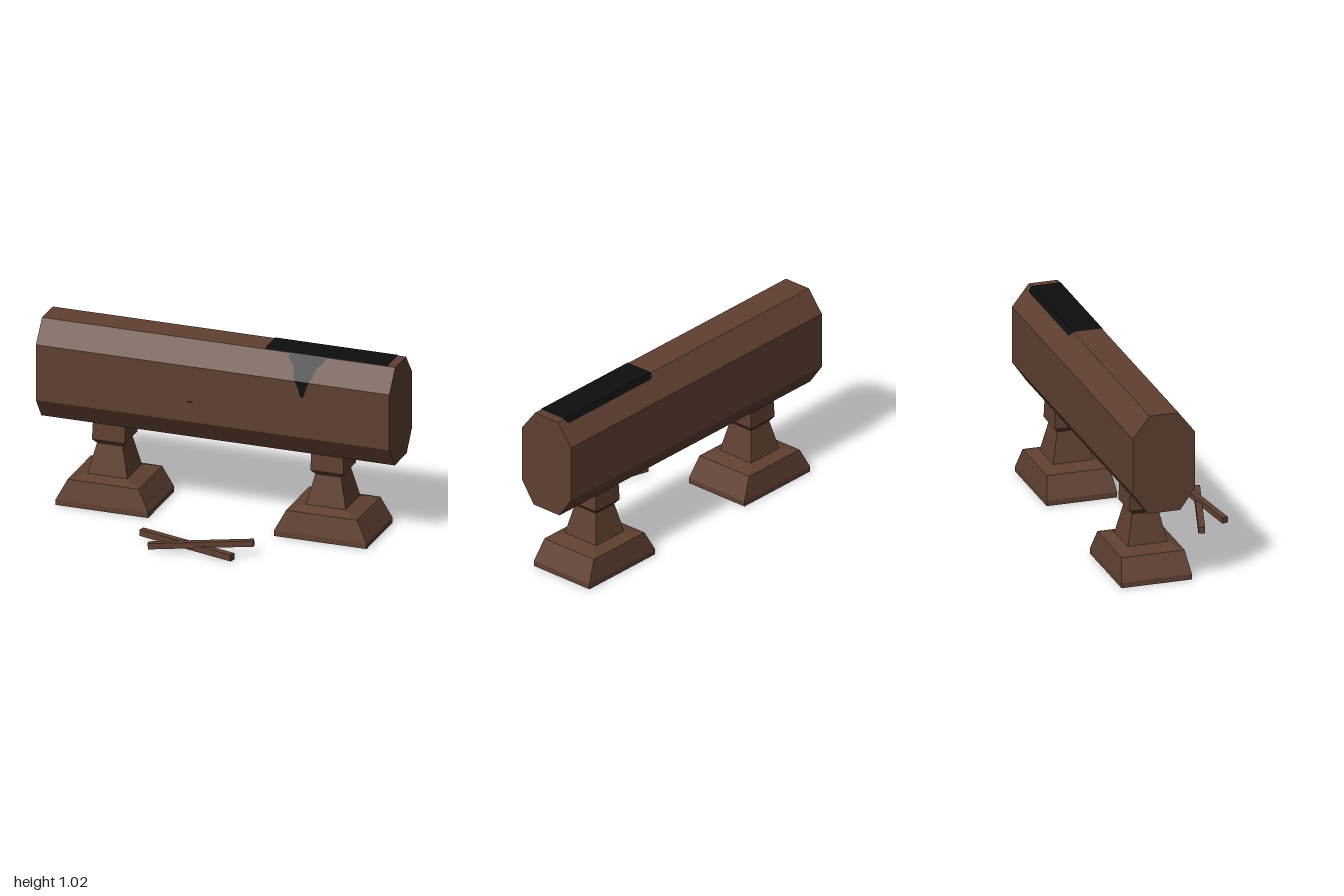
import * as THREE from 'three';

const wood = new THREE.MeshStandardMaterial({ name: 'brownWood', color: 0x5f4031 });
const black = new THREE.MeshStandardMaterial({ name: 'blackStain', color: 0x0e0e0e, side: THREE.DoubleSide });

const MID_Y = 0.734, MID_Z = -0.219;

function addMesh(parent, name, geometry, material) {
  const mesh = new THREE.Mesh(geometry, material);
  mesh.name = name;
  parent.add(mesh);
  return mesh;
}

function facetedGeometry(points) {
  const g = new THREE.BufferGeometry();
  g.setAttribute('position', new THREE.Float32BufferAttribute(points.flat(), 3));
  g.computeVertexNormals();
  return g;
}

// Stacked rectangular sections [y, half width, half depth], closed at both ends
function loftRects(sections) {
  const corners = [[1, 1], [1, -1], [-1, -1], [-1, 1]];
  const rings = sections.map(([y, hx, hz]) => corners.map(([sx, sz]) => [sx * hx, y, sz * hz]));
  const pts = [];
  const quad = (a, b, c, d) => pts.push(a, b, c, a, c, d);
  for (let r = 0; r < rings.length - 1; r++) {
    for (let i = 0; i < 4; i++) {
      const j = (i + 1) % 4;
      quad(rings[r][i], rings[r][j], rings[r + 1][j], rings[r + 1][i]);
    }
  }
  quad(...[...rings[0]].reverse());
  quad(...rings[rings.length - 1]);
  return facetedGeometry(pts);
}

// Thin skin over the beam from rows [y, z, left x, right x], lifted off its faces
function skin(rows) {
  const k = 1.012;
  const pts = [];
  const edge = rows.map(([y, z, x0, x1]) => {
    const py = MID_Y + (y - MID_Y) * k, pz = MID_Z + (z - MID_Z) * k;
    return [[x0, py, pz], [x1, py, pz]];
  });
  for (let i = 0; i < edge.length - 1; i++) {
    const [a, b] = edge[i], [d, c] = edge[i + 1];
    pts.push(a, c, b, a, d, c);
  }
  return facetedGeometry(pts);
}

// Square stick between two points
function stick(parent, name, from, to, size) {
  const a = new THREE.Vector3(...from), b = new THREE.Vector3(...to);
  const d = b.clone().sub(a);
  const g = new THREE.BoxGeometry(d.length(), size, size);
  g.rotateZ(Math.atan2(d.y, Math.hypot(d.x, d.z)));
  g.rotateY(Math.atan2(-d.z, d.x));
  addMesh(parent, name, g, wood).position.copy(a.add(b).multiplyScalar(0.5));
}

export function createModel() {
  const model = new THREE.Group();
  model.name = 'beamOnPedestals';

  // Long eight-sided beam, profile points are [z, y]
  const profile = [
    [-0.045, 0.575], [-0.045, 0.892], [-0.138, 1.013], [-0.3, 1.013],
    [-0.393, 0.892], [-0.393, 0.575], [-0.31, 0.456], [-0.128, 0.456],
  ];
  const shape = new THREE.Shape(profile.map(([z, y]) => new THREE.Vector2(-z, y)));
  const beam = new THREE.ExtrudeGeometry(shape, { depth: 2, bevelEnabled: false });
  beam.translate(0, 0, -1).rotateY(Math.PI / 2);
  addMesh(model, 'beam', beam, wood);

  // Two stepped pedestals
  const pedestal = loftRects([
    [0, 0.262, 0.197], [0.03, 0.262, 0.197], [0.148, 0.201, 0.176],
    [0.17, 0.112, 0.111], [0.337, 0.073, 0.075], [0.362, 0.094, 0.095],
    [0.46, 0.09, 0.091],
  ]);
  for (const side of [-1, 1]) {
    const name = side < 0 ? 'rightPedestal' : 'leftPedestal';
    addMesh(model, name, pedestal, wood).position.set(side * 0.618, 0, MID_Z);
  }

  // Black pool on the top, with rounded rear corners
  addMesh(model, 'stainPool', skin([
    [0.987, -0.319, 0.285, 0.93], [0.995, -0.314, 0.267, 0.948],
    [1.013, -0.3, 0.26, 0.955], [1.013, -0.138, 0.26, 0.955],
  ]), black);

  // Drip running down the front
  addMesh(model, 'stainDrip', skin([
    [1.013, -0.138, 0.398, 0.612], [0.985, -0.1165, 0.405, 0.602],
    [0.96, -0.0973, 0.438, 0.572], [0.92, -0.0665, 0.452, 0.558],
    [0.892, -0.045, 0.464, 0.545], [0.855, -0.045, 0.483, 0.527],
    [0.82, -0.045, 0.492, 0.519], [0.804, -0.045, 0.499, 0.511],
  ]), black);

  // Tiny dark fleck on the front face
  addMesh(model, 'fleck', new THREE.BoxGeometry(0.02, 0.006, 0.004), black).position.set(-0.127, 0.69, -0.045);

  // Crossed sticks on the ground
  stick(model, 'lyingStick', [-0.3, 0.027, 0.229], [0.278, 0.027, 0.396], 0.036);
  stick(model, 'leaningStick', [-0.2, 0.026, 0.394], [0.355, 0.077, 0.279], 0.033);

  return model;
}
